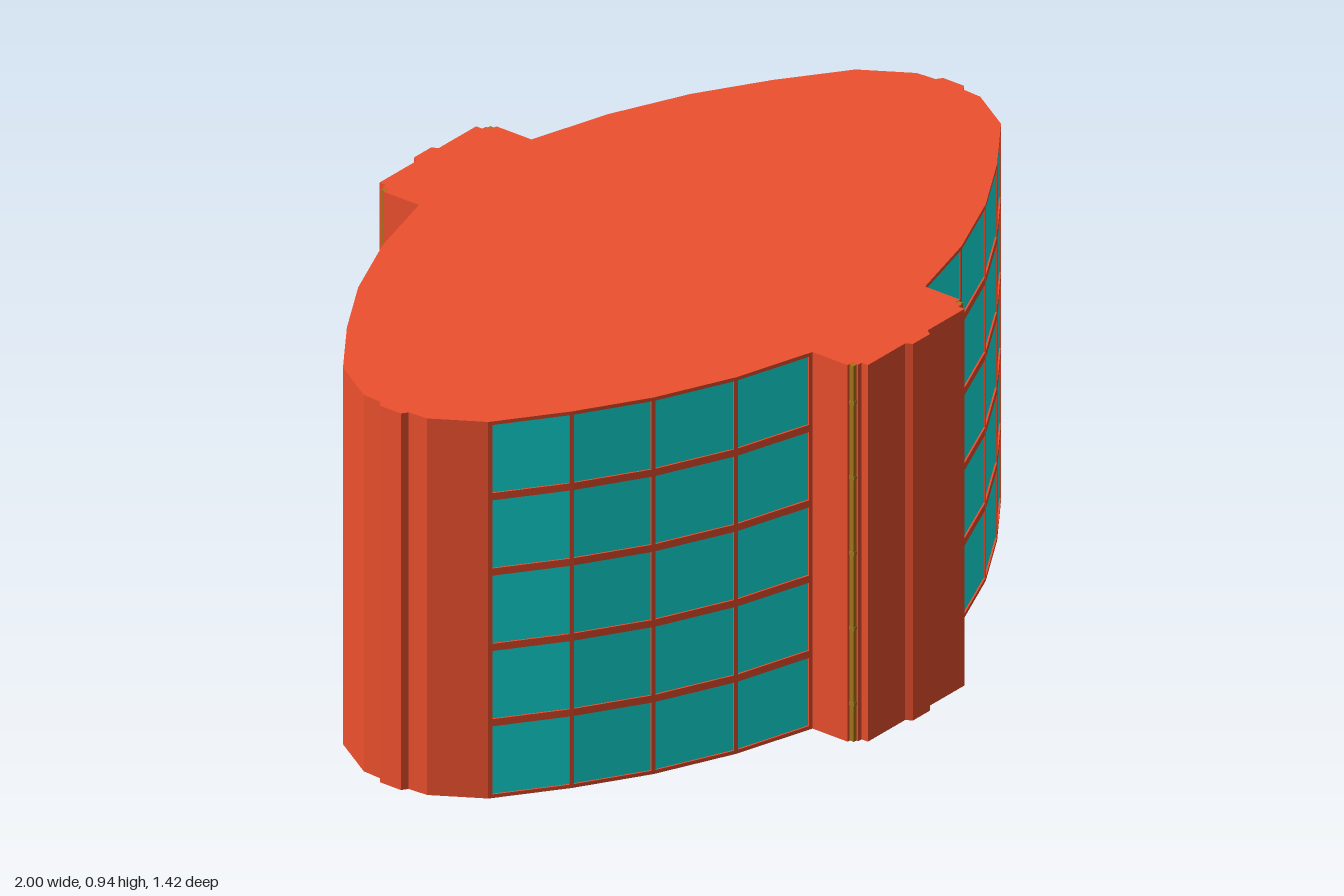
import * as THREE from 'three';

const H = 0.945, FLOORS = 5, STOREY = H / FLOORS, INSET = 0.008;
const mat = (color) => new THREE.MeshStandardMaterial({ color, flatShading: true });

// Plan of one quadrant as [x, z]
const pier = [[0.03, 0.71], [0.04, 0.695], [0.172, 0.695], [0.172, 0.677], [0.184, 0.677], [0.184, 0.66], [0.2, 0.66]];
const facade = [[0.2, 0.56], [0.4, 0.503], [0.59, 0.42], [0.755, 0.32], [0.91, 0.207]];
const tip = [[0.982, 0.09], [0.985, 0.04], [1, 0.03]];

// Repeat a quadrant around both axes and extrude it upward
function planSolid(quadrant, height) {
  const flip = (sx, sz) => quadrant.map(([x, z]) => new THREE.Vector2(sx * x, sz * z));
  const pts = [...flip(1, 1), ...flip(1, -1).reverse(), ...flip(-1, -1), ...flip(-1, 1).reverse()];
  return new THREE.ExtrudeGeometry(new THREE.Shape(pts), { depth: height, bevelEnabled: false }).rotateX(-Math.PI / 2);
}

export function createModel() {
  const model = new THREE.Group();
  const brick = mat(0xee502e), glass = mat(0x10eeea), brass = mat(0xa87818);

  const add = (name, geometry, material, x = 0, y = 0, z = 0, angle = 0) => {
    const mesh = new THREE.Mesh(geometry, material);
    mesh.name = name;
    mesh.position.set(x, y, z);
    mesh.rotation.y = angle;
    model.add(mesh);
  };

  // Core, set back behind the window frames
  const setBack = facade.map(([x, z]) => [x === 0.2 ? x : x - INSET * 0.5, z - INSET]);
  add('core', planSolid([...pier, ...setBack, facade[4], ...tip], H), brick);

  // Roof and base edges reach the full outline
  const slab = planSolid([...pier, ...facade, ...tip], 0.009);
  add('base', slab, brick);
  add('roof', slab, brick, 0, H - 0.009);

  for (const sx of [1, -1]) for (const sz of [1, -1]) {
    // Curved window walls
    for (let i = 0; i < 4; i++) {
      const [ax, az] = facade[i], [bx, bz] = facade[i + 1];
      const dx = bx - ax, dz = bz - az, len = Math.hypot(dx, dz);
      const nx = -dz / len, nz = dx / len;
      const angle = -Math.atan2(sz * dz, sx * dx);
      const put = (name, geometry, material, depth, y) =>
        add(name, geometry, material, sx * ((ax + bx) / 2 - nx * depth), y, sz * ((az + bz) / 2 - nz * depth), angle);

      const pane = new THREE.BoxGeometry(len - 0.006, STOREY - 0.018, 0.008);
      const bar = new THREE.BoxGeometry(len, 0.018, 0.012);
      for (let f = 0; f < FLOORS; f++) {
        put('windowPane', pane, glass, 0.008, (f + 0.5) * STOREY);
        if (f) put('floorBand', bar, brick, 0.006, f * STOREY);
      }
    }
    // Upright mullions at the joints
    facade.forEach(([x, z], i) => {
      const p = facade[Math.max(i - 1, 0)], q = facade[Math.min(i + 1, 4)];
      const dx = q[0] - p[0], dz = q[1] - p[1], len = Math.hypot(dx, dz);
      const shift = i === 0 ? 0.004 : i === 4 ? -0.004 : 0;
      const mx = x + dz / len * 0.006 + dx / len * shift;
      const mz = z - dx / len * 0.006 + dz / len * shift;
      add('mullion', new THREE.BoxGeometry(0.01, H - 0.002, 0.012), brick,
        sx * mx, H / 2, sz * mz, -Math.atan2(sz * dz, sx * dx));
    });
    // Brass strip in the pier corner, with a clip at each storey
    add('cornerStrip', new THREE.BoxGeometry(0.012, H - 0.002, 0.013), brass, sx * 0.188, H / 2, sz * 0.666);
    for (let f = 0; f < FLOORS; f++)
      add('stripClip', new THREE.BoxGeometry(0.014, 0.008, 0.015), brass, sx * 0.188, (f + 0.5) * STOREY, sz * 0.666);
  }
  return model;
}
